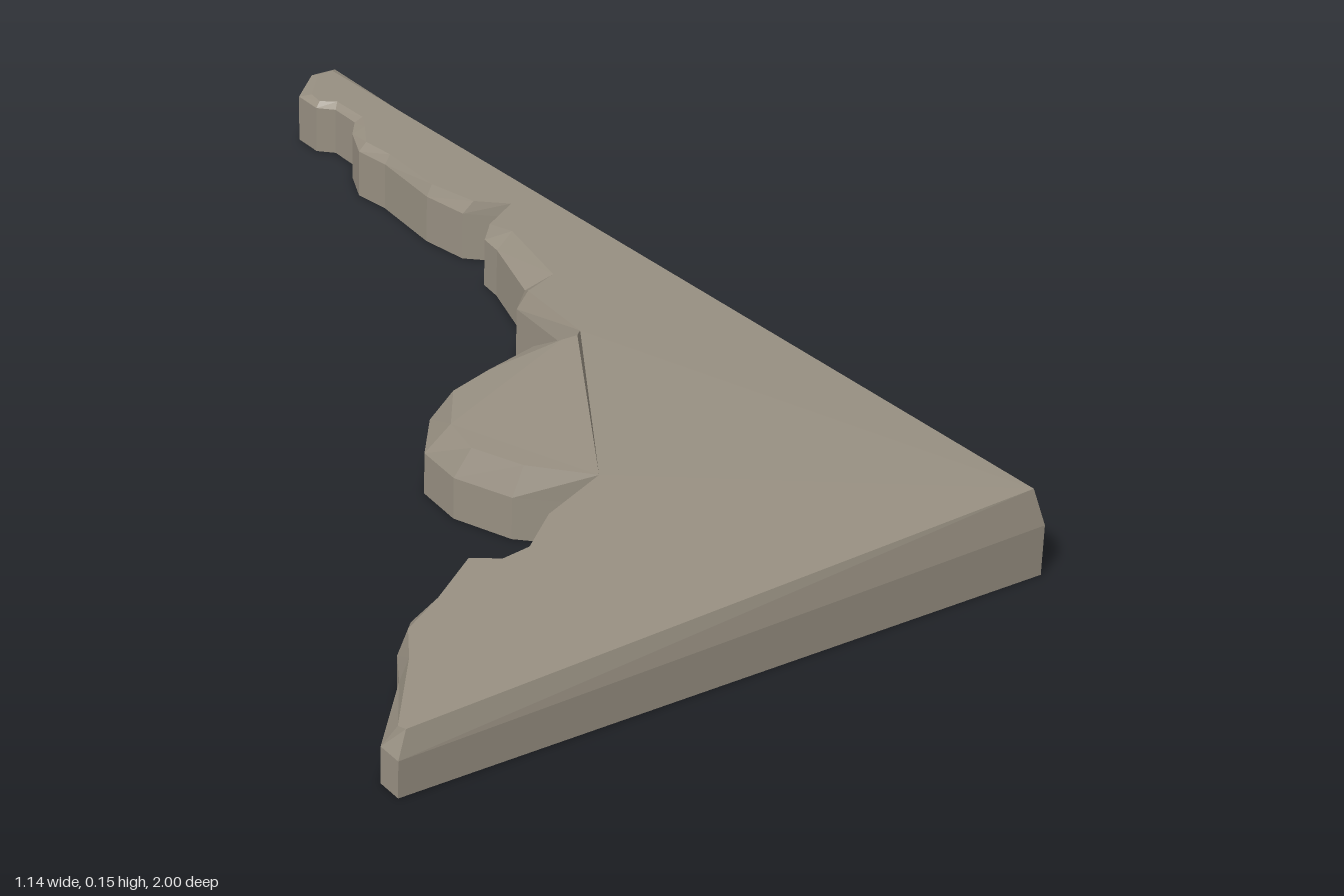
import * as THREE from 'three';

// Edge stations, counter-clockwise from above: [wall x, wall z, bevel top x, bevel top z]
const rearArm = [
  [0.57, -1, 0.555, -0.985], [0.52, -1, 0.525, -0.985], [0.45, -0.93, 0.465, -0.91],
  [0.45, -0.87, 0.46, -0.875], [0.475, -0.845, 0.485, -0.855], [0.475, -0.78, 0.485, -0.77],
  [0.445, -0.74, 0.465, -0.73], [0.415, -0.67, 0.43, -0.67], [0.425, -0.6, 0.435, -0.6],
  [0.415, -0.45, 0.425, -0.45], [0.43, -0.36, 0.445, -0.35], [0.485, -0.31, 0.492, -0.305],
  [0.405, -0.255, 0.415, -0.255], [0.4, -0.21, 0.43, -0.21], [0.355, -0.06, 0.39, -0.03],
  [0.305, -0.01, 0.32, 0], [0.295, 0.17, 0.305, 0.17],
];
const lobe = [
  [0.265, 0.205, 0.27, 0.212], [0.24, 0.208, 0.24, 0.212], [0.175, 0.185, 0.19, 0.207],
  [0.09, 0.185, 0.105, 0.207], [-0.01, 0.215, 0.02, 0.235], [-0.075, 0.3, -0.04, 0.32],
  [-0.08, 0.39, -0.055, 0.4], [-0.04, 0.49, -0.02, 0.49], [0.035, 0.56, 0.055, 0.58],
];
const frontArm = [
  [-0.07, 0.605, -0.07, 0.63], [-0.15, 0.675, -0.145, 0.69], [-0.195, 0.675, -0.195, 0.695],
  [-0.235, 0.65, -0.235, 0.665], [-0.36, 0.705, -0.33, 0.73], [-0.425, 0.77, -0.41, 0.775],
  [-0.46, 0.83, -0.45, 0.84], [-0.57, 0.955, -0.555, 0.975], [-0.57, 1, -0.55, 0.988],
  [0.57, 1, 0.553, 0.988],
];

// The thickness tapers from the square corner towards both tips
const wallHeight = (x, z) => (z > 0.2 ? Math.min(0.085, 0.0725 + 0.022 * x) : 0.085);
function topHeight(x, z) {
  if (z > 0.2 && z < 0.22 && x > 0.15) return 0.143; // raised shoulder of the lobe
  return Math.min(0.123 + 0.0435 * x, 0.147 - 0.028 * (1 - z));
}

function facets(triangles) {
  const g = new THREE.BufferGeometry().setFromPoints(triangles);
  g.computeVertexNormals();
  return g;
}

// Closed band of quads between two matching rings
function band(lower, upper) {
  const tris = [];
  lower.forEach((a, i) => {
    const j = (i + 1) % lower.length;
    tris.push(a, lower[j], upper[j], a, upper[j], upper[i]);
  });
  return facets(tris);
}

export function createModel() {
  const stone = new THREE.MeshStandardMaterial({ color: 0x989082 });
  stone.side = THREE.DoubleSide; // open-bottomed shell
  stone.flatShading = true;

  const stations = [...rearArm, ...lobe, ...frontArm];
  const base = stations.map(([x, z]) => new THREE.Vector3(x, 0, z));
  const rim = stations.map(([x, z]) => new THREE.Vector3(x, wallHeight(x, z), z));
  const crown = stations.map(([, , x, z]) => new THREE.Vector3(x, topHeight(x, z), z));

  // Top surface
  const flat = crown.map((p) => new THREE.Vector2(p.x, -p.z));
  const cap = THREE.ShapeUtils.triangulateShape(flat, []).flat().map((i) => crown[i]);

  const group = new THREE.Group();
  group.name = 'cornerBracket';
  const parts = { sideWall: band(base, rim), bevel: band(rim, crown), topFace: facets(cap) };
  for (const [name, geometry] of Object.entries(parts)) {
    const mesh = new THREE.Mesh(geometry, stone);
    mesh.name = name;
    group.add(mesh);
  }
  return group;
}
